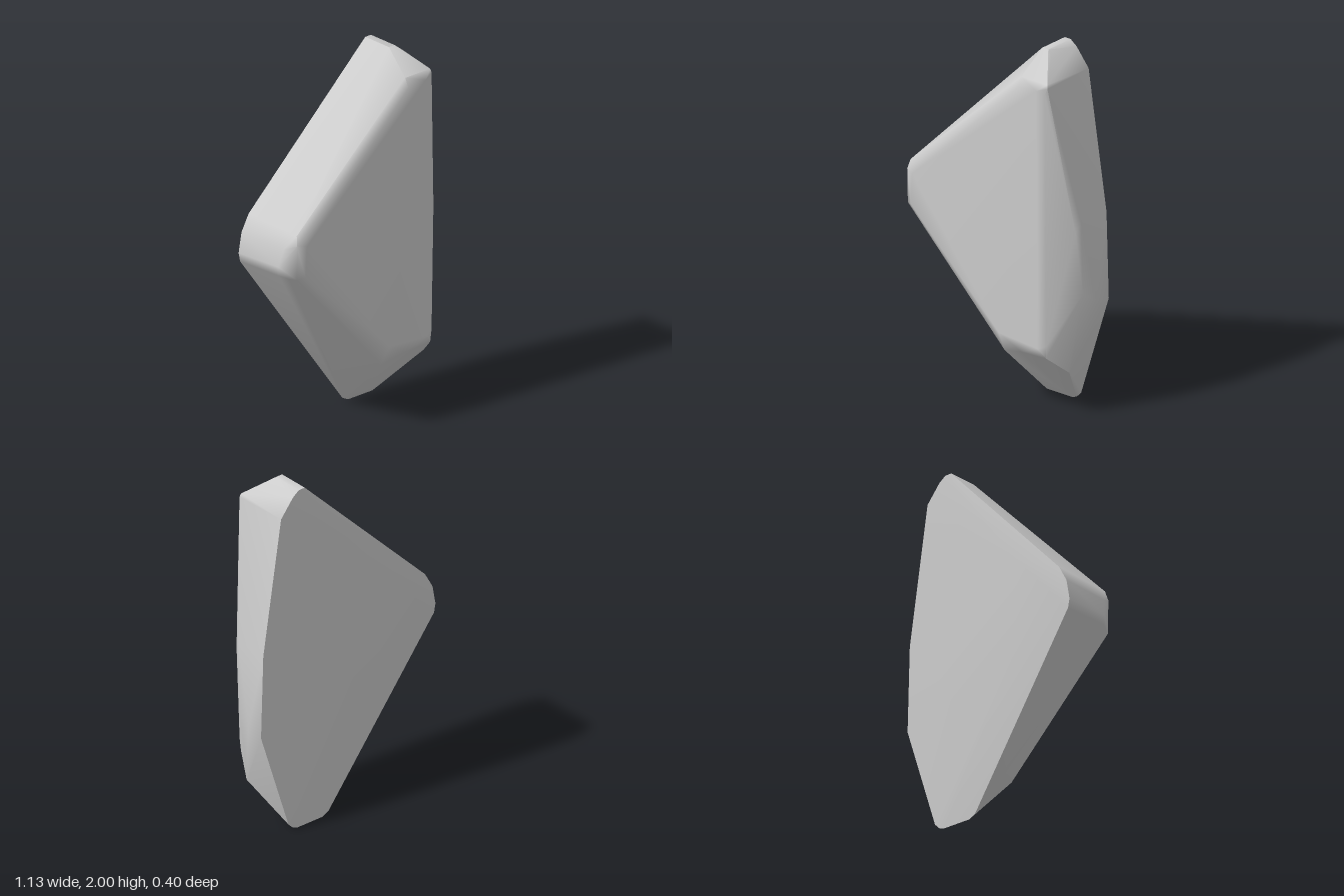
import * as THREE from 'three';
import { ConvexGeometry } from 'three/addons/geometries/ConvexGeometry.js';

// Outline of the back, and the ridge where the back bulges slightly
const back = [
  [0.27, 2, -0.15], [0.31, 2, -0.15], [0.35, 1.97, -0.15], [0.43, 1.87, -0.15],
  [0.55, 1.1, -0.15], [0.565, 0.62, -0.15], [0.38, 0.04, -0.15],
  [0.35, 0.01, -0.15], [0.32, 0, -0.15], [0.15, 0, -0.15], [0.11, 0.02, -0.15],
  [-0.56, 0.97, -0.2], [-0.57, 1.02, -0.2], [-0.55, 1.13, -0.2], [-0.5, 1.22, -0.2],
  [-0.2, 1.36, -0.2], [-0.2, 0.83, -0.2],
];

// Widest points of the sides, between back and front
const sides = [
  [0.27, 2, 0.03], [0.31, 2, 0.03], [0.345, 1.97, 0.05],
  [0.547, 1.1, 0.05], [0.535, 1.05, 0.08], [0.565, 0.64, -0.05], [0.55, 0.7, 0.04],
  [0.48, 0.25, 0.065], [-0.555, 0.98, 0.09], [-0.56, 1.03, 0.09], [-0.54, 1.13, 0.11],
  [-0.5, 1.21, 0.165], [-0.53, 0.97, 0.14],
];

// Rim and face of the front
const front = [
  [0.25, 1.88, 0.175], [0.425, 1.88, 0.175], [0.43, 1.86, 0.18], [0.42, 1.83, 0.19],
  [0.37, 1.84, 0.2], [0.25, 1.83, 0.2], [-0.46, 1.15, 0.2], [-0.51, 1.16, 0.18],
  [-0.51, 0.97, 0.175], [-0.47, 0.98, 0.2], [0.12, 0.42, 0.2], [0.11, 0.3, 0.14],
  [0.25, 0.34, 0.175], [0.42, 0.35, 0.18], [0.38, 0.4, 0.2], [0.425, 0.42, 0.185],
];

// Smooth normals weighted by face area, so large facets stay flat; steep edges stay sharp
function softenFacets(geometry, maxAngle) {
  const pos = geometry.attributes.position;
  const corner = (i) => new THREE.Vector3().fromBufferAttribute(pos, i);
  const key = (p) => p.toArray().map((v) => v.toFixed(4)).join();
  const faces = [];
  const around = {};
  for (let i = 0; i < pos.count; i += 3) {
    const [a, b, c] = [corner(i), corner(i + 1), corner(i + 2)];
    const normal = b.clone().sub(a).cross(c.clone().sub(a));
    faces.push(normal);
    for (const p of [a, b, c]) (around[key(p)] ??= []).push(normal);
  }
  for (let i = 0; i < pos.count; i++) {
    const own = faces[Math.floor(i / 3)];
    const sum = new THREE.Vector3();
    for (const n of around[key(corner(i))]) if (n === own || n.angleTo(own) < maxAngle) sum.add(n);
    sum.normalize();
    geometry.attributes.normal.setXYZ(i, sum.x, sum.y, sum.z);
  }
  return geometry;
}

export function createModel() {
  const group = new THREE.Group();
  group.name = 'rock';
  const stone = new THREE.MeshStandardMaterial({ color: 0xcccccc });
  stone.name = 'pale grey stone';

  // Convex slab: softened bevels in front, sharp rim around the back
  const points = [...back, ...sides, ...front].map((p) => new THREE.Vector3(...p));
  const slab = new THREE.Mesh(softenFacets(new ConvexGeometry(points), 0.7), stone);
  slab.name = 'stoneSlab';
  group.add(slab);
  return group;
}
